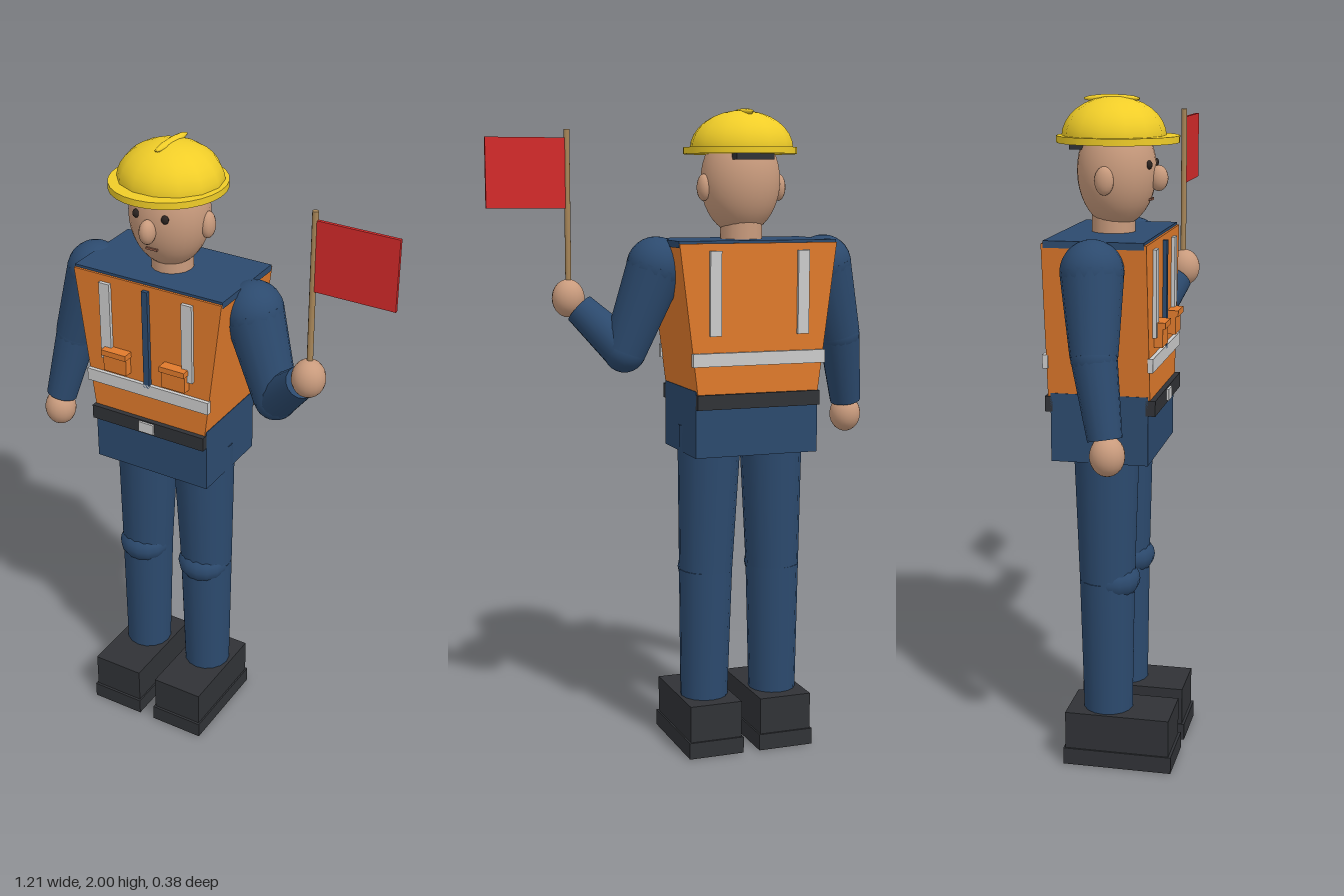
import * as THREE from 'three';

const colors = {
  navy: 0x2c4a6e, orange: 0xe07a2c, skin: 0xc99b7d, yellow: 0xf0cd28,
  dark: 0x303236, red: 0xd42a2a, wood: 0xa88658, silver: 0xcccccc, eye: 0x2a2320, lip: 0x94604c
};
const mats = {};
for (const k in colors) mats[k] = new THREE.MeshStandardMaterial({ color: colors[k] });

const CX = -0.163, CZ = -0.026; // centre line of the body

export function createModel() {
  const model = new THREE.Group();
  model.name = 'flagWorker';

  const add = (name, geo, mat, x, y, z, parent = model) => {
    const m = new THREE.Mesh(geo, mats[mat]);
    m.name = name;
    m.position.set(x, y, z);
    parent.add(m);
    return m;
  };
  const part = (name) => {
    const g = new THREE.Group();
    g.name = name;
    model.add(g);
    return g;
  };
  // Box given by its limits on each axis
  const box = (name, mat, [x0, x1], [y0, y1], [z0, z1], parent) =>
    add(name, new THREE.BoxGeometry(x1 - x0, y1 - y0, z1 - z0), mat,
      (x0 + x1) / 2, (y0 + y1) / 2, (z0 + z1) / 2, parent);
  const ball = (name, mat, [x, y, z], [rx, ry, rz], parent, seg = 20) => {
    const m = add(name, new THREE.SphereGeometry(1, seg, Math.ceil(seg * 0.7)), mat, x, y, z, parent);
    m.scale.set(rx, ry, rz);
    return m;
  };
  // Tapered limb between two points
  const limb = (name, mat, a, b, ra, rb, parent, seg = 16) => {
    const A = new THREE.Vector3(...a), B = new THREE.Vector3(...b), d = B.clone().sub(A);
    const mid = A.clone().add(B).multiplyScalar(0.5);
    const m = add(name, new THREE.CylinderGeometry(rb, ra, d.length(), seg), mat, mid.x, mid.y, mid.z, parent);
    m.quaternion.setFromUnitVectors(new THREE.Vector3(0, 1, 0), d.normalize());
    return m;
  };

  // Legs and boots
  for (const s of [-1, 1]) {
    const leg = part(s > 0 ? 'leftLeg' : 'rightLeg');
    const x = CX + s * 0.117, hip = CX + s * 0.102;
    box('sole', 'dark', [x - 0.09, x + 0.09], [0, 0.052], [-0.143, 0.19], leg);
    box('boot', 'dark', [x - 0.085, x + 0.085], [0.052, 0.168], [-0.137, 0.182], leg);
    limb('shin', 'navy', [x, 0.16, -0.02], [x - s * 0.004, 0.58, -0.023], 0.075, 0.084, leg);
    limb('thigh', 'navy', [x - s * 0.004, 0.58, -0.023], [hip, 1.04, CZ], 0.084, 0.1, leg);
    ball('knee', 'navy', [x - s * 0.004, 0.58, -0.004], [0.083, 0.063, 0.08], leg, 14);
  }

  // Hips, belt and buckle
  box('hips', 'navy', [CX - 0.198, CX + 0.198], [0.96, 1.163], [-0.17, 0.117]);
  box('beltFront', 'dark', [CX - 0.198, CX + 0.198], [1.108, 1.153], [0.11, 0.138]);
  box('beltBack', 'dark', [CX - 0.198, CX + 0.198], [1.108, 1.153], [-0.187, -0.165]);
  box('buckle', 'silver', [CX - 0.026, CX + 0.026], [1.115, 1.149], [0.13, 0.145]);

  // Tapered vest with a navy shoulder top
  const vest = part('vest');
  const outline = new THREE.Shape([[-0.195, 1.153], [0.195, 1.153], [0.252, 1.602], [-0.252, 1.602]]
    .map(([x, y]) => new THREE.Vector2(x, y)));
  add('vestBody', new THREE.ExtrudeGeometry(outline, { depth: 0.3, bevelEnabled: false }), 'orange', CX, 0, -0.178, vest);
  box('shoulderTop', 'navy', [CX - 0.252, CX + 0.252], [1.59, 1.61], [-0.172, 0.115], vest);
  box('zipper', 'navy', [CX - 0.01, CX + 0.01], [1.268, 1.588], [0.118, 0.134], vest);
  for (const [side, z] of [['Front', 0.126], ['Back', -0.181]]) {
    box('waistBand' + side, 'silver', [CX - 0.213, CX + 0.213], [1.238, 1.278], [z - 0.008, z + 0.008], vest);
    for (const s of [-1, 1]) {
      const x = CX + s * 0.141;
      box('stripe' + side, 'silver', [x - 0.018, x + 0.018], [1.328, 1.58], [z - 0.007, z + 0.007], vest);
    }
  }
  for (const s of [-1, 1]) {
    const x = CX + s * 0.102;
    box('pocket', 'orange', [x - 0.04, x + 0.04], [1.298, 1.36], [0.12, 0.148], vest);
    box('pocketFlap', 'orange', [x - 0.043, x + 0.043], [1.352, 1.37], [0.12, 0.156], vest);
  }

  // Arms: shoulder, elbow, wrist and hand points
  const arms = [
    ['rightArm', [-0.438, 1.53, CZ], [-0.508, 1.305, -0.005], [-0.553, 1.085, 0.035], [-0.556, 1.04, 0.042]],
    ['leftArm', [0.112, 1.53, CZ], [0.205, 1.275, 0], [0.325, 1.402, 0.075], [0.355, 1.432, 0.092]]
  ];
  for (const [name, shoulder, elbow, wrist, hand] of arms) {
    const arm = part(name);
    ball('shoulder', 'navy', shoulder, [0.09, 0.09, 0.09], arm);
    limb('upperArm', 'navy', shoulder, elbow, 0.09, 0.067, arm);
    ball('elbow', 'navy', elbow, [0.066, 0.066, 0.066], arm);
    limb('forearm', 'navy', elbow, wrist, 0.065, 0.049, arm);
    ball('hand', 'skin', hand, [0.05, 0.058, 0.05], arm);
  }

  // Flag on a pole in the left hand
  const flag = part('flag');
  limb('pole', 'wood', [0.355, 1.42, 0.088], [0.355, 1.937, 0.088], 0.009, 0.009, flag, 10);
  box('flagCloth', 'red', [0.36, 0.604], [1.703, 1.912], [0.083, 0.093], flag);

  // Head and face
  const head = part('head');
  limb('neck', 'skin', [CX, 1.59, CZ], [CX, 1.68, CZ], 0.064, 0.064, head);
  ball('skull', 'skin', [CX, 1.785, -0.016], [0.123, 0.163, 0.115], head, 28);
  ball('nose', 'skin', [CX, 1.765, 0.107], [0.024, 0.037, 0.028], head, 14);
  box('mouth', 'lip', [CX - 0.019, CX + 0.019], [1.702, 1.708], [0.07, 0.09], head);
  for (const s of [-1, 1]) {
    ball('ear', 'skin', [CX + s * 0.122, 1.765, CZ], [0.021, 0.041, 0.028], head, 14);
    ball('eye', 'eye', [CX + s * 0.048, 1.806, 0.088], [0.012, 0.013, 0.01], head, 10);
  }

  // Hard hat
  const hat = part('hardHat');
  const brim = add('brim', new THREE.CylinderGeometry(0.173, 0.173, 0.02, 28), 'yellow', CX, 1.875, -0.012, hat);
  brim.scale.z = 1.03;
  const dome = add('dome', new THREE.SphereGeometry(1, 14, 8, 0, Math.PI * 2, 0, Math.PI / 2), 'yellow', CX, 1.88, -0.024, hat);
  dome.scale.set(0.159, 0.115, 0.151);
  ball('crest', 'yellow', [CX, 1.988, -0.03], [0.015, 0.012, 0.087], hat, 10);
  box('headband', 'dark', [CX - 0.06, CX + 0.06], [1.847, 1.867], [-0.143, -0.1], hat);

  return model;
}
